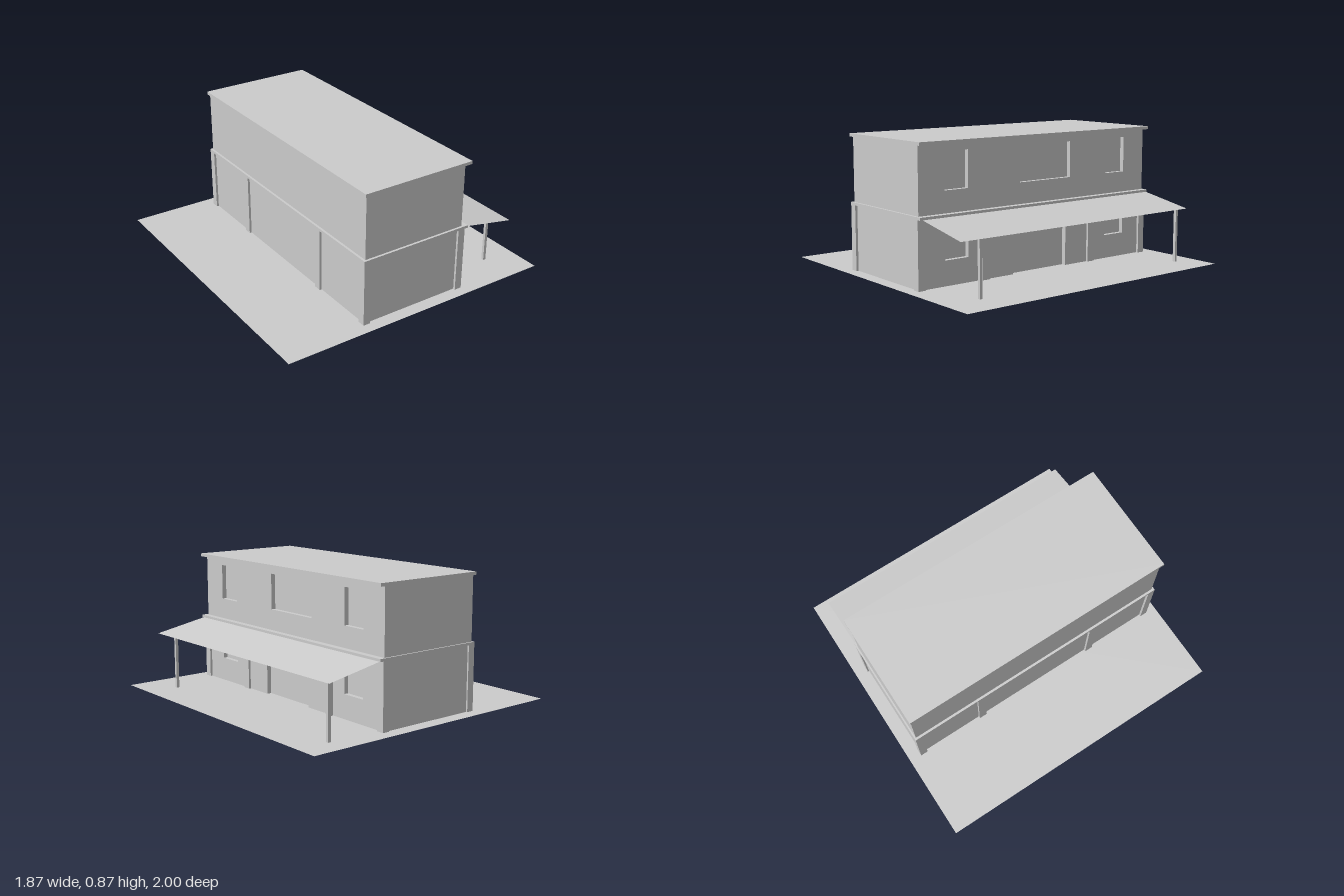
import * as THREE from 'three';

const mat = new THREE.MeshStandardMaterial({ color: 0xcccccc, flatShading: true });
const sheet = new THREE.MeshStandardMaterial({ color: 0xcccccc, side: THREE.DoubleSide });

export function createModel() {
  const model = new THREE.Group();

  const add = (name, geometry, material = mat) => {
    const mesh = new THREE.Mesh(geometry, material);
    mesh.name = name;
    model.add(mesh);
    return mesh;
  };
  // Box given by its limits on each axis
  const box = (name, x0, x1, y0, y1, z0, z1) =>
    add(name, new THREE.BoxGeometry(x1 - x0, y1 - y0, z1 - z0))
      .position.set((x0 + x1) / 2, (y0 + y1) / 2, (z0 + z1) / 2);

  // Outer wall layer on the +x side; holes leave recessed windows
  const recess = 0.03, wallX = 0.355, wallZ = 0.915;
  const rect = (Type, z0, z1, y0, y1) =>
    new Type([[-z1, y0], [-z0, y0], [-z0, y1], [-z1, y1]].map(p => new THREE.Vector2(...p)));
  const facade = (name, outline, windows) => {
    outline.holes = windows.map(w => rect(THREE.Path, ...w));
    const geo = new THREE.ExtrudeGeometry(outline, { depth: recess, bevelEnabled: false });
    geo.rotateY(Math.PI / 2);
    add(name, geo).position.x = wallX - recess;
  };

  // Ground sheet
  add('ground', new THREE.PlaneGeometry(1.87, 2).rotateX(-Math.PI / 2), sheet);

  // Lower storey, with a wide doorway notched out of its facade
  box('lowerStorey', -0.36, wallX - recess, 0, 0.42, -0.91, wallZ);
  const lower = new THREE.Shape([
    [-wallZ, 0], [-0.22, 0], [-0.22, 0.385], [0.215, 0.385], [0.215, 0], [0.91, 0], [0.91, 0.42], [-wallZ, 0.42],
  ].map(p => new THREE.Vector2(...p)));
  facade('lowerFacade', lower, [[0.56, 0.73, 0.155, 0.385], [-0.73, -0.56, 0.155, 0.385]]);

  // Pillars along both long walls, including the corners
  for (const [z0, z1] of [[0.88, 0.93], [0.41, 0.465], [-0.455, -0.4], [-0.92, -0.87]]) {
    box('pillar', -0.375, -0.327, 0, 0.42, z0, z1);
    box('pillar', 0.322, 0.37, 0, 0.42, z0, z1);
  }

  // Upper storey
  box('upperStorey', -0.36, wallX - recess, 0.435, 0.845, -0.91, wallZ);
  facade('upperFacade', rect(THREE.Shape, -0.91, wallZ, 0.435, 0.845), [
    [0.56, 0.73, 0.57, 0.8], [-0.25, 0.165, 0.57, 0.8], [-0.73, -0.56, 0.57, 0.8],
  ]);

  // Overhanging slabs
  box('floorSlab', -0.375, 0.395, 0.418, 0.435, -0.92, 0.93);
  box('roof', -0.375, 0.395, 0.845, 0.865, -0.92, 0.93);

  // Sloping canopy sheet on two posts
  const run = 0.37, drop = 0.07;
  const canopy = new THREE.PlaneGeometry(Math.hypot(run, drop), 1.825).rotateX(-Math.PI / 2);
  canopy.rotateZ(-Math.atan2(drop, run));
  add('canopy', canopy, sheet).position.set(0.575, 0.385, 0);
  for (const z of [0.75, -0.855]) box('canopyPost', 0.709, 0.728, 0, 0.355, z - 0.009, z + 0.009);

  return model;
}
